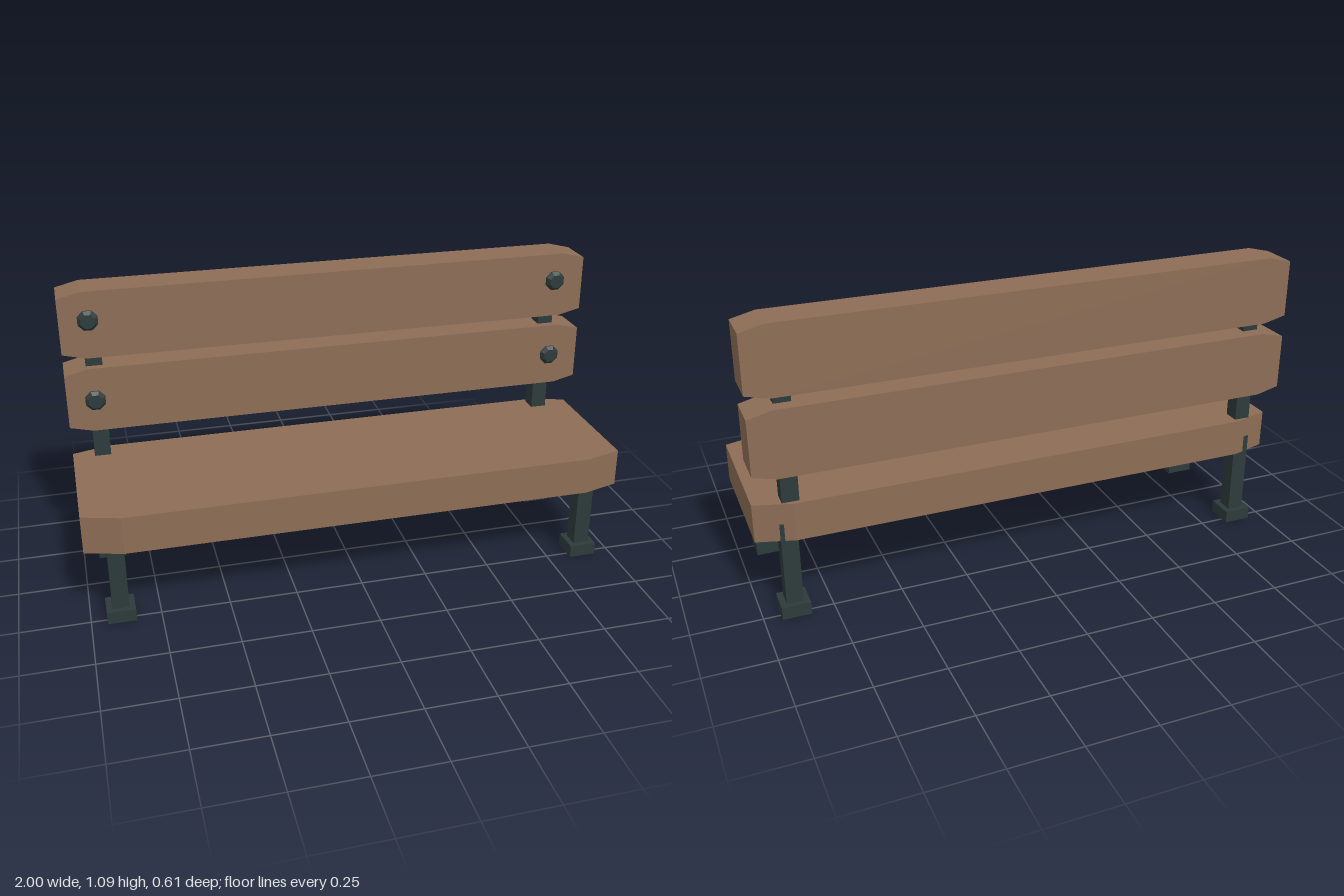
import * as THREE from 'three';

const wood = new THREE.MeshStandardMaterial({ color: 0x8d6e56, flatShading: true });
const metal = new THREE.MeshStandardMaterial({ color: 0x2d3a3a, flatShading: true });

// Plank outline with its four corners cut off by cx along the length and cy across it
function plankGeometry(low, high, cx, cy, depth) {
  const shape = new THREE.Shape([
    [-1, low + cy], [-1 + cx, low], [1 - cx, low], [1, low + cy],
    [1, high - cy], [1 - cx, high], [-1 + cx, high], [-1, high - cy],
  ].map(([x, y]) => new THREE.Vector2(x, y)));
  return new THREE.ExtrudeGeometry(shape, { depth, bevelEnabled: false });
}

export function createModel() {
  const model = new THREE.Group();
  model.name = 'bench';

  const add = (name, geometry, material, x = 0, y = 0, z = 0) => {
    const mesh = new THREE.Mesh(geometry, material);
    mesh.name = name;
    mesh.position.set(x, y, z);
    model.add(mesh);
    return mesh;
  };
  // Square bar standing between two heights
  const bar = (name, size, y0, y1, x, z) =>
    add(name, new THREE.BoxGeometry(size, y1 - y0, size), metal, x, (y0 + y1) / 2, z);

  // Seat: outline lies flat, thickness runs down from the top
  const seat = plankGeometry(-0.27, 0.305, 0.135, 0.04, 0.141);
  seat.rotateX(Math.PI / 2);
  add('seat', seat, wood, 0, 0.437, 0);

  // Backrest planks
  add('lowerBackrestPlank', plankGeometry(0.555, 0.8, 0.085, 0.021, 0.141), wood, 0, 0, -0.304);
  add('upperBackrestPlank', plankGeometry(0.841, 1.091, 0.085, 0.021, 0.141), wood, 0, 0, -0.304);

  for (const [side, legX, postX, boltX] of [
    ['left', 0.887, 0.872, 0.885],
    ['right', -0.892, -0.89, -0.898],
  ]) {
    // Legs with square feet
    for (const [end, z] of [['Front', 0.227], ['Back', -0.229]]) {
      bar(`${side}${end}Leg`, 0.06, 0.04, 0.36, legX, z);
      bar(`${side}${end}Foot`, 0.103, 0, 0.047, legX, z);
    }

    // Post holding the backrest
    bar(`${side}BackPost`, 0.06, 0.36, 0.95, postX, -0.223);

    // Bolt heads: eight-sided, narrowing to the front
    for (const [row, y] of [['Lower', 0.677], ['Upper', 0.985]]) {
      const profile = [[0, -0.01], [0.039, -0.01], [0.039, 0.006], [0.027, 0.019], [0, 0.019]]
        .map(([r, h]) => new THREE.Vector2(r, h));
      const head = new THREE.LatheGeometry(profile, 8);
      head.rotateY(Math.PI / 8);
      head.rotateX(Math.PI / 2);
      add(`${side}${row}Bolt`, head, metal, boltX, y, -0.163);
    }
  }
  return model;
}
